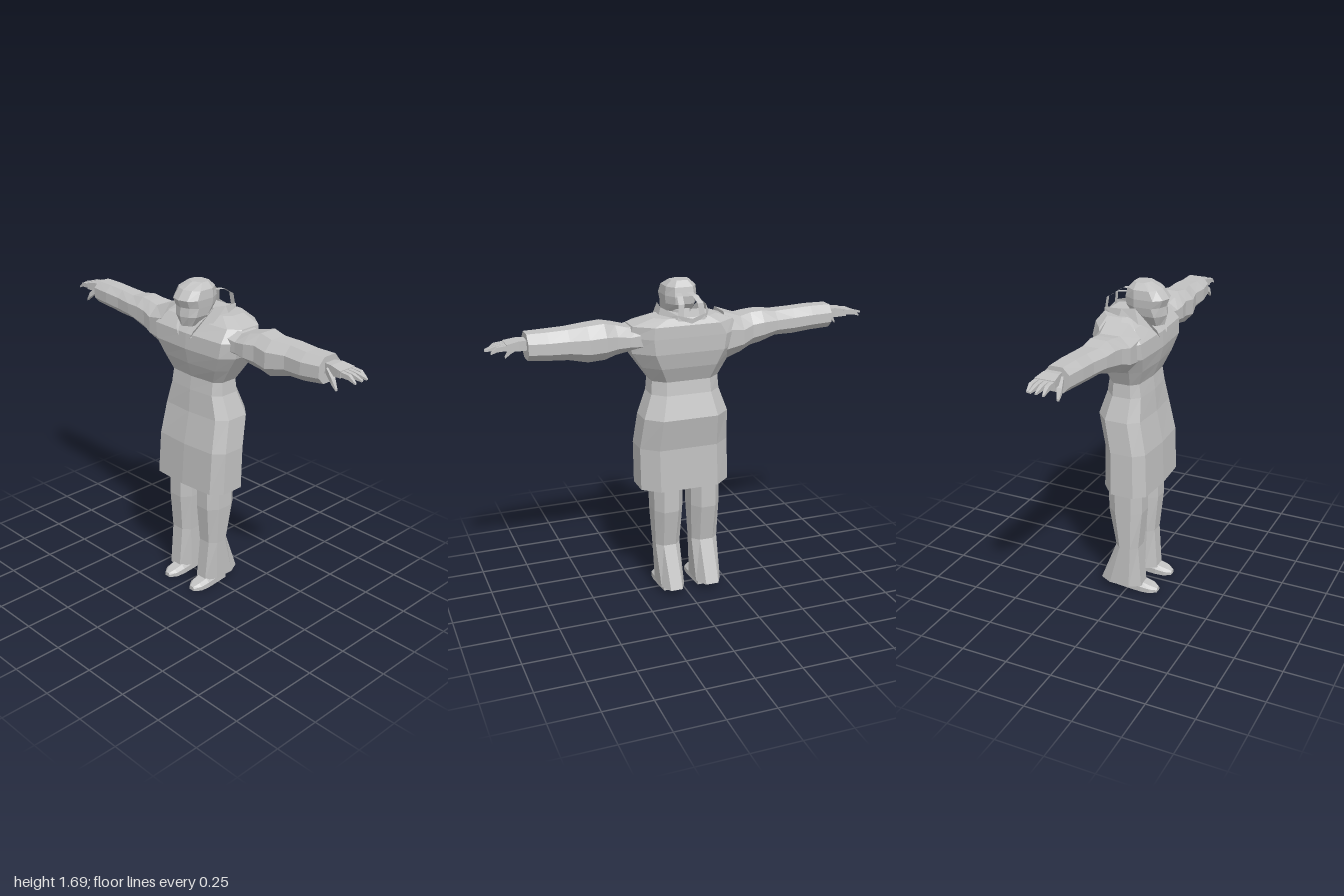
import * as THREE from 'three';

const grey = new THREE.MeshStandardMaterial({ color: 0xc2c2c2, flatShading: true });
grey.name = 'plainGrey';
const greyThin = grey.clone();
greyThin.side = THREE.DoubleSide;
greyThin.name = 'plainGreyThin';

function geometry(tris) {
  const g = new THREE.BufferGeometry();
  g.setAttribute('position', new THREE.Float32BufferAttribute(tris.flat(2), 3));
  g.computeVertexNormals();
  return g;
}

// Closed skin over a row of rings with equal point counts, turned to face outwards
function loft(rings) {
  const tris = [];
  const n = rings[0].length;
  const mid = r => [0, 1, 2].map(k => r.reduce((s, p) => s + p[k], 0) / n);
  const first = rings[0], last = rings[rings.length - 1];
  const c0 = mid(first), c1 = mid(last);
  for (let j = 0; j < n; j++) {
    const k = (j + 1) % n;
    for (let i = 0; i < rings.length - 1; i++) {
      const a = rings[i], b = rings[i + 1];
      tris.push([a[j], a[k], b[k]], [a[j], b[k], b[j]]);
    }
    tris.push([c0, first[k], first[j]], [c1, last[j], last[k]]);
  }
  const volume = tris.reduce((s, [a, b, c]) => {
    const [p, q, r] = [a, b, c].map(v => new THREE.Vector3(...v));
    return s + p.dot(q.cross(r));
  }, 0);
  return geometry(volume < 0 ? tris.map(([a, b, c]) => [a, c, b]) : tris);
}

// Open band between two point rows
function band(low, high) {
  const tris = [];
  for (let i = 0; i < low.length - 1; i++) {
    tris.push([low[i], low[i + 1], high[i + 1]], [low[i], high[i + 1], high[i]]);
  }
  return geometry(tris);
}

// Level ring with chamfered corners; f and b set the width of the front and back panels
function levelRing([y, x0, x1, zf, zb], f = 0.8, b = 0.65, bulge = 0) {
  const c = (x0 + x1) / 2, w = (x1 - x0) / 2, m = (zf + zb) / 2, d = (zf - zb) / 2;
  return [[c + w * f, y, zf - bulge], [c + w, y, m + d * 0.5], [c + w, y, m - d * 0.45],
    [c + w * b, y, zb], [c - w * b, y, zb], [c - w, y, m - d * 0.45],
    [c - w, y, m + d * 0.5], [c - w * f, y, zf - bulge], [c, y, zf]];
}

// Upright octagonal ring for sleeves
function sleeveRing([x, yt, yb, zf, zb], side) {
  const y = (yt + yb) / 2, h = (yt - yb) / 2, z = (zf + zb) / 2, d = (zf - zb) / 2;
  return [[1, .45], [.5, 1], [-.5, 1], [-1, .35], [-1, -.45], [-.5, -1], [.5, -1], [1, -.45]]
    .map(([u, v]) => [side * x, y + v * h, z + u * d]);
}

// Four-cornered ring across x
const boxRing = (x, y, z, h, d) =>
  [[x, y - h, z - d], [x, y - h, z + d], [x, y + h, z + d], [x, y + h, z - d]];

export function createModel() {
  const model = new THREE.Group();
  model.name = 'standingFigure';
  const add = (name, geo, mat = grey, parent = model) => {
    const mesh = new THREE.Mesh(geo, mat);
    mesh.name = name;
    parent.add(mesh);
  };

  // Long coat: hem, waist, chest, shoulders
  add('coat', loft([
    [0.61, -.25, .235, .145, -.12], [0.84, -.24, .24, .135, -.12],
    [1.01, -.225, .225, .10, -.157], [1.13, -.185, .18, .09, -.12],
    [1.20, -.18, .175, .08, -.11], [1.28, -.22, .23, .11, -.145],
    [1.36, -.27, .285, .13, -.165], [1.44, -.285, .30, .125, -.168],
    [1.50, -.24, .285, .075, -.168], [1.535, -.15, .18, .02, -.15],
  ].map(r => levelRing(r, 0.8, 0.65, 0.012))));

  // Head and neck
  add('head', loft([
    [1.48, -.045, .04, .14, .03], [1.53, -.075, .07, .153, -.01],
    [1.575, -.085, .076, .148, -.045], [1.615, -.088, .08, .165, -.05],
    [1.66, -.082, .075, .13, -.04], [1.69, -.05, .045, .07, -.015],
  ].map(r => levelRing(r, 0.6, 0.6, 0.015))));
  add('neck', loft([
    [1.42, -.065, .06, .07, -.07], [1.55, -.05, .045, .06, -.04],
  ].map(r => levelRing(r, 0.6, 0.6))));

  // Standing collar, lapels and the two straps behind the head
  for (const s of [1, -1]) {
    const flip = pts => pts.map(([x, y, z]) => [s * x, y, z]);
    add('collar', band(
      flip([[.04, 1.42, .132], [.135, 1.5, .06], [.14, 1.515, -.05], [.09, 1.5, -.15], [0, 1.5, -.165]]),
      flip([[.06, 1.46, .125], [.115, 1.58, .03], [.12, 1.57, -.04], [.075, 1.55, -.155], [0, 1.53, -.165]])
    ), greyThin);
    const strap = w => flip([[.06 + w, 1.5, -.16], [.05 + w, 1.6, -.148], [.04 + w, 1.63, -.1], [.025 + w, 1.635, -.03]]);
    add('backStrap', band(strap(-.015), strap(.015)), greyThin);
  }

  // Sleeves: [x, top, bottom, front, back]
  const sleeves = {
    left: [[.22, 1.51, 1.36, .08, -.13], [.30, 1.49, 1.37, .08, -.12], [.36, 1.505, 1.355, .085, -.105],
      [.42, 1.52, 1.34, .075, -.12], [.50, 1.51, 1.33, .085, -.10], [.60, 1.505, 1.355, .06, -.105],
      [.70, 1.50, 1.36, .065, -.10], [.80, 1.50, 1.37, .05, -.098]],
    right: [[.20, 1.53, 1.28, .10, -.14], [.30, 1.495, 1.31, .095, -.12], [.36, 1.505, 1.335, .08, -.095],
      [.42, 1.51, 1.35, .075, -.10], [.50, 1.50, 1.375, .07, -.09], [.60, 1.505, 1.375, .055, -.085],
      [.70, 1.51, 1.385, .055, -.088], [.81, 1.51, 1.39, .045, -.085]],
  };
  for (const [name, s, lift] of [['left', 1, 0], ['right', -1, .018]]) {
    add(name + 'Sleeve', loft(sleeves[name].map(r => sleeveRing(r, s))));

    // Hand with four tapering fingers and a drooping thumb
    const hand = new THREE.Group();
    hand.name = name + 'Hand';
    hand.position.y = lift;
    model.add(hand);
    add('palm', loft([
      boxRing(s * .78, 1.445, -.025, .025, .03), boxRing(s * .84, 1.448, -.027, .024, .042),
      boxRing(s * .90, 1.445, -.027, .017, .05),
    ]), grey, hand);
    [[-.065, .975, 1.425], [-.04, 1.0, 1.435], [-.015, .995, 1.432], [.01, .98, 1.422]].forEach(([z, tip, y]) =>
      add('finger', loft([
        boxRing(s * .885, 1.447, z, .013, .0115), boxRing(s * .945, 1.443, z * 1.05, .011, .010),
        boxRing(s * tip, y, z * 1.08, .004, .005),
      ]), grey, hand));
    add('thumb', loft([
      boxRing(s * .82, 1.44, .005, .016, .018), boxRing(s * .865, 1.405, .025, .014, .013),
      boxRing(s * .89, 1.372, .03, .005, .006),
    ]), grey, hand);
  }

  // Flared trousers: [y, inner and outer x, front, back]
  const legs = {
    left: [[.04, .01, .14, .088, -.148], [.27, .015, .15, .07, -.058], [.48, .008, .165, .09, -.10], [.66, .005, .165, .09, -.10]],
    right: [[.04, -.2, -.06, .088, -.148], [.27, -.2, -.055, .07, -.058], [.48, -.2, -.042, .09, -.10], [.66, -.2, -.04, .09, -.10]],
  };
  for (const [name, x] of [['left', .083], ['right', -.113]]) {
    add(name + 'TrouserLeg', loft(legs[name].map(r => levelRing(r, 0.5, 0.5))));
    // Shoe, heel to toe: [z, half width, height]
    add(name + 'Shoe', loft([[-.06, .034, .05], [.0, .04, .055], [.08, .047, .05], [.13, .042, .038], [.165, .018, .022]]
      .map(([z, w, h]) => [[x - w, 0, z], [x + w, 0, z], [x + w, h * .6, z], [x + w * .6, h, z],
        [x - w * .6, h, z], [x - w, h * .6, z]])));
  }
  return model;
}
